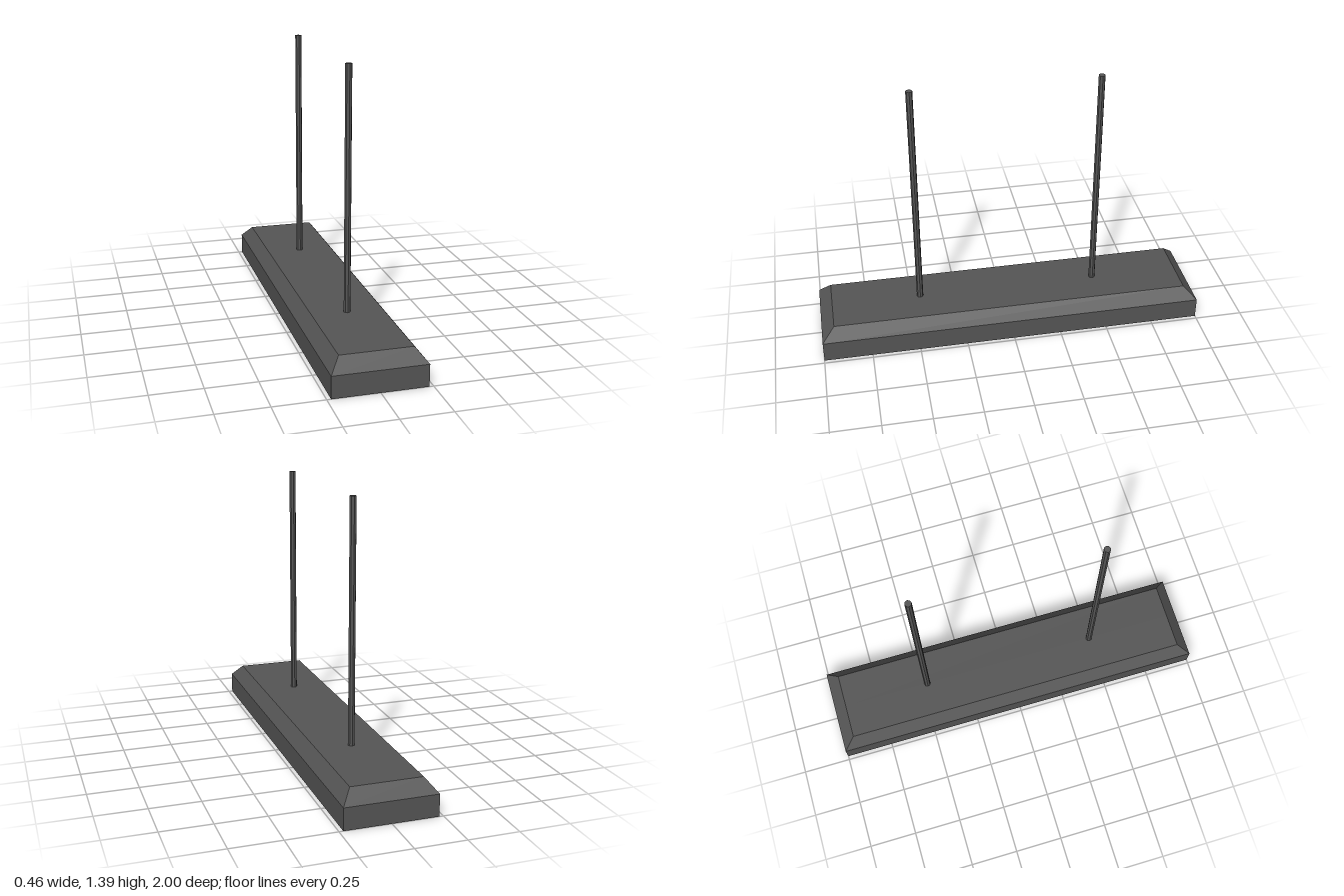
import * as THREE from 'three';

// Flat-shaded loft through rectangular rings [halfX, halfZ, y]; faces point outward when rings run upward.
function loftRectangles(rings) {
  const corners = rings.map(([x, z, y]) => [[x, y, z], [x, y, -z], [-x, y, -z], [-x, y, z]]);
  const positions = [];
  for (let r = 0; r < rings.length - 1; r++) {
    for (let i = 0; i < 4; i++) {
      const j = (i + 1) % 4;
      const a = corners[r][i], b = corners[r][j];
      const c = corners[r + 1][j], d = corners[r + 1][i];
      positions.push(...a, ...b, ...c, ...a, ...c, ...d);
    }
  }
  const geometry = new THREE.BufferGeometry();
  geometry.setAttribute('position', new THREE.Float32BufferAttribute(positions, 3));
  geometry.computeVertexNormals();
  return geometry;
}

export function createModel() {
  const model = new THREE.Group();
  model.name = 'hangingLamp';

  const metal = new THREE.MeshStandardMaterial({ color: 0x555555, flatShading: true });
  const diffuser = new THREE.MeshStandardMaterial({ color: 0xaaaaaa, flatShading: true });

  const rim = 0.04, recess = 0.04;
  const halfX = 0.23, halfZ = 1, topY = 0.175;

  // Housing: recess wall, bottom rim, sides, sloped shoulders and flat top
  const housing = new THREE.Mesh(loftRectangles([
    [halfX - rim, halfZ - rim, recess],
    [halfX - rim, halfZ - rim, 0],
    [halfX, halfZ, 0],
    [halfX, halfZ, 0.11],
    [0.178, 0.935, topY],
    [0, 0.935, topY],
  ]), metal);
  housing.name = 'housing';
  model.add(housing);

  // Light panel set into the underside
  const panel = new THREE.Mesh(
    new THREE.PlaneGeometry(2 * (halfX - rim), 2 * (halfZ - rim)), diffuser);
  panel.name = 'lightPanel';
  panel.rotation.x = Math.PI / 2;
  panel.position.y = recess;
  model.add(panel);

  // Two suspension rods
  const rodTop = 1.39;
  const rodGeometry = new THREE.CylinderGeometry(0.017, 0.017, rodTop - topY, 8);
  for (const side of [1, -1]) {
    const rod = new THREE.Mesh(rodGeometry, metal);
    rod.name = side > 0 ? 'frontRod' : 'backRod';
    rod.position.set(0, (rodTop + topY) / 2, side * 0.47);
    model.add(rod);
  }

  return model;
}
